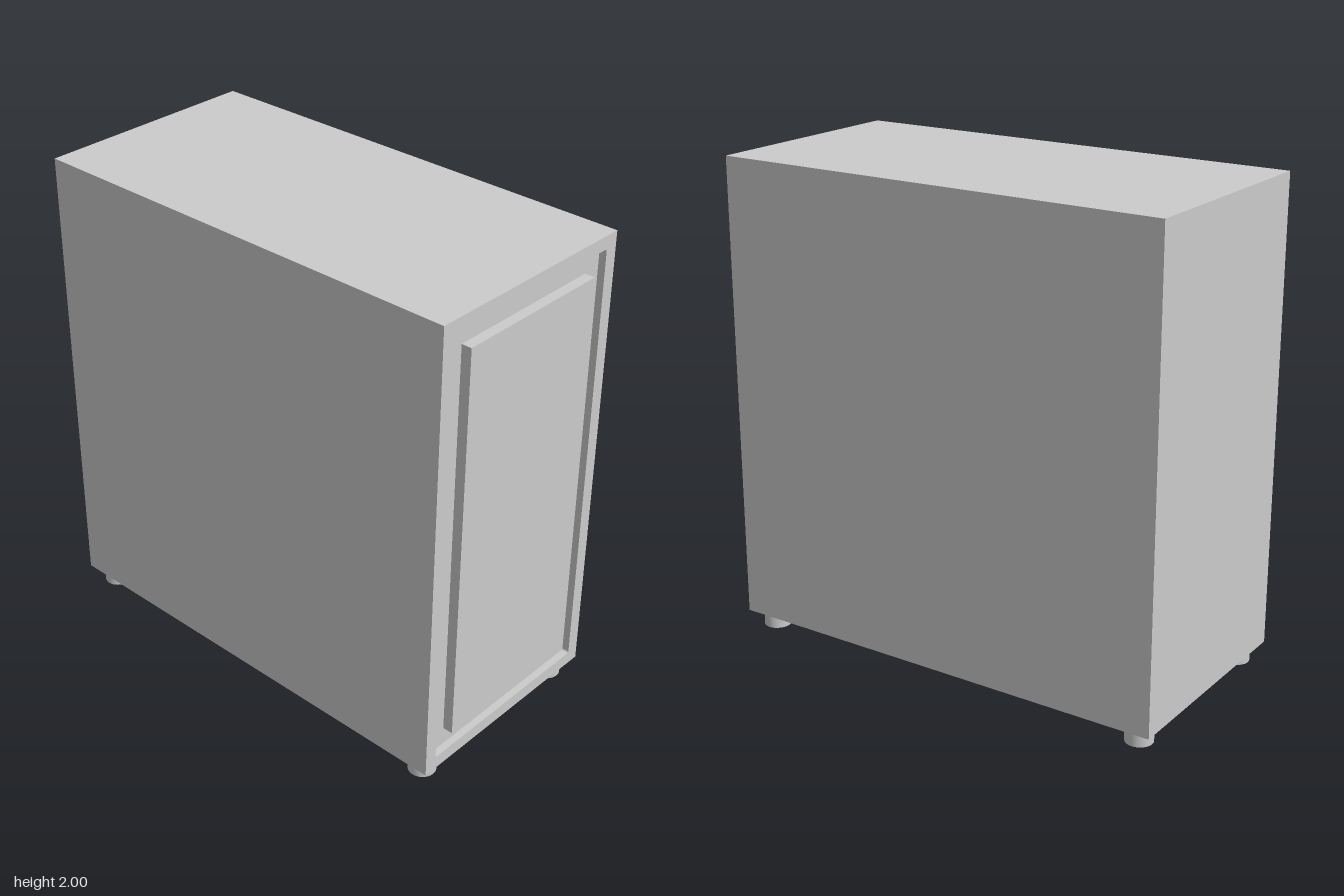
import * as THREE from 'three';

const material = new THREE.MeshStandardMaterial({ color: 0xcccccc });

function add(group, name, geometry, x, y, z) {
  const mesh = new THREE.Mesh(geometry, material);
  mesh.name = name;
  mesh.position.set(x, y, z);
  group.add(mesh);
}

// Traces a rectangle with rounded corners, centred on the origin
function roundedRect(path, w, h, r) {
  const x = w / 2, y = h / 2;
  path.moveTo(-x + r, -y);
  path.lineTo(x - r, -y).quadraticCurveTo(x, -y, x, -y + r);
  path.lineTo(x, y - r).quadraticCurveTo(x, y, x - r, y);
  path.lineTo(-x + r, y).quadraticCurveTo(-x, y, -x, y - r);
  path.lineTo(-x, -y + r).quadraticCurveTo(-x, -y, -x + r, -y);
  return path;
}

export function createModel() {
  const model = new THREE.Group();
  model.name = 'cabinet';

  const back = -0.97, front = 0.96, recess = 0.03;
  const bottom = 0.067, top = 2, width = 0.95;
  const height = top - bottom, midY = (top + bottom) / 2;
  const floor = front - recess;

  // Main casing, ending at the floor of the recess
  add(model, 'casing', new THREE.BoxGeometry(floor - back, height, width),
    (floor + back) / 2, midY, 0);

  // Rim around the recess on the +x end
  const x = width / 2, y = height / 2;
  const rim = new THREE.Shape([
    new THREE.Vector2(-x, -y), new THREE.Vector2(x, -y),
    new THREE.Vector2(x, y), new THREE.Vector2(-x, y),
  ]);
  rim.holes.push(roundedRect(new THREE.Path(), 0.84, 1.825, 0.01));
  const rimGeometry = new THREE.ExtrudeGeometry(rim,
    { depth: recess, bevelEnabled: false, curveSegments: 4 });
  rimGeometry.rotateY(Math.PI / 2);
  add(model, 'recessRim', rimGeometry, floor, midY, 0);

  // Raised panel standing in the recess, slightly proud of the rim
  const panelFront = 0.972;
  add(model, 'endPanel', new THREE.BoxGeometry(panelFront - floor, 1.67, 0.684),
    (panelFront + floor) / 2, midY, 0);

  // Four round feet
  for (const footX of [-0.885, 0.875]) {
    for (const side of [-1, 1]) {
      add(model, 'foot', new THREE.CylinderGeometry(0.056, 0.056, bottom, 32),
        footX, bottom / 2, side * 0.393);
    }
  }
  return model;
}
